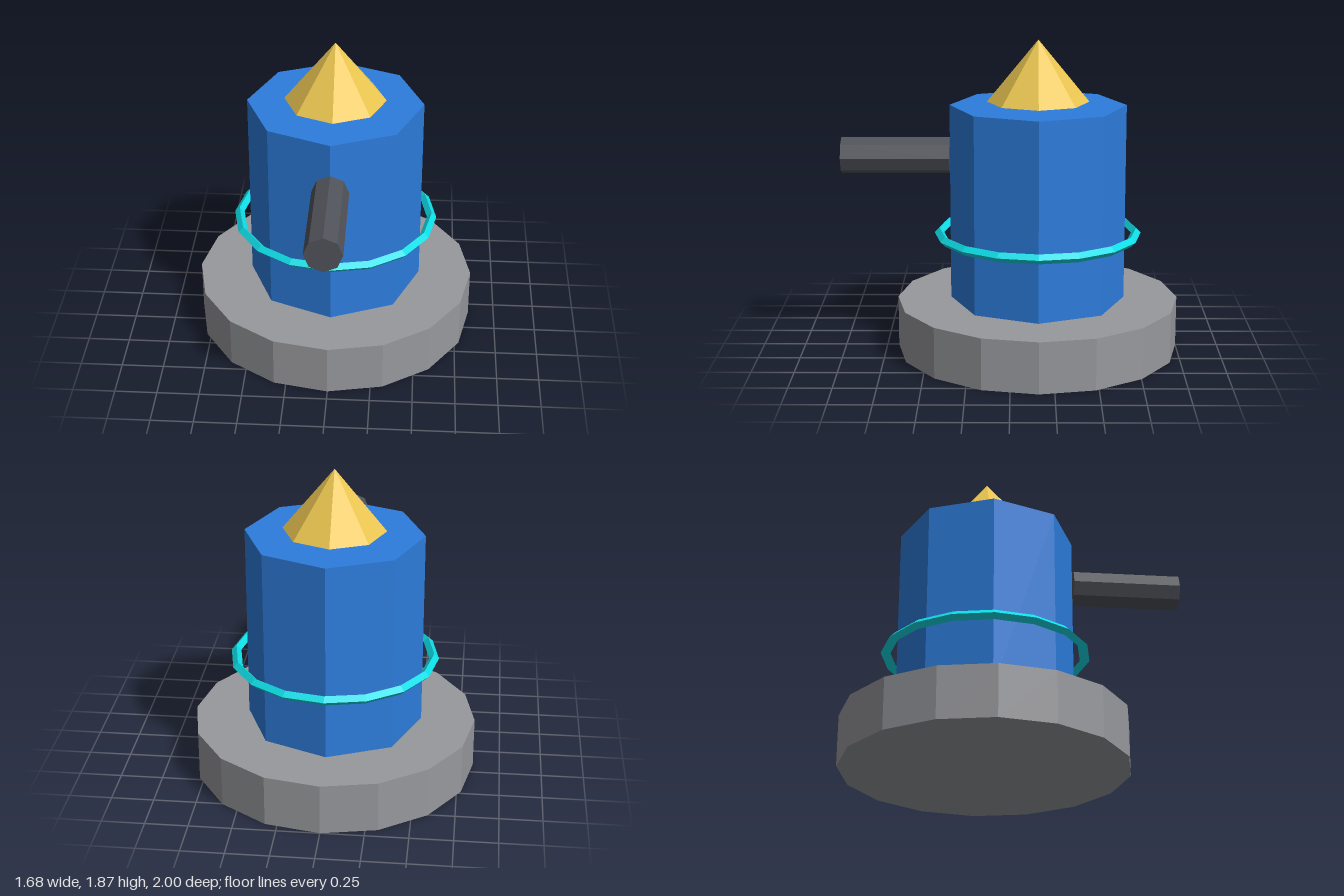
import * as THREE from 'three';

const AXIS_Z = -0.16; // the tower stands behind the centre, balancing the barrel

function addPart(group, name, geometry, color, x, y, z) {
  const material = new THREE.MeshStandardMaterial({ color, flatShading: true });
  const mesh = new THREE.Mesh(geometry, material);
  mesh.name = name;
  mesh.position.set(x, y, z);
  group.add(mesh);
  return mesh;
}

export function createModel() {
  const model = new THREE.Group();
  model.name = 'turret';

  // Sixteen-sided foot
  addPart(model, 'base', new THREE.CylinderGeometry(0.84, 0.84, 0.305, 16), 0x98999d, 0, 0.1525, AXIS_Z);

  // Octagonal tower
  addPart(model, 'tower', new THREE.CylinderGeometry(0.52, 0.52, 1.175, 8), 0x2d7ddd, 0, 0.8925, AXIS_Z);

  // Pointed cap, floating just above the tower
  addPart(model, 'cap', new THREE.ConeGeometry(0.3, 0.365, 8), 0xeac550, 0, 1.6825, AXIS_Z);

  // Floating ring with a diamond section
  const ring = new THREE.TorusGeometry(0.587, 0.029, 4, 16).rotateX(Math.PI / 2);
  addPart(model, 'ring', ring, 0x0edde6, 0, 0.707, AXIS_Z);

  // Barrel pointing forward from the tower's front corner
  const barrel = new THREE.CylinderGeometry(0.108, 0.108, 0.64, 8).rotateX(Math.PI / 2);
  addPart(model, 'barrel', barrel, 0x50535a, 0, 1.178, 0.68);

  return model;
}
